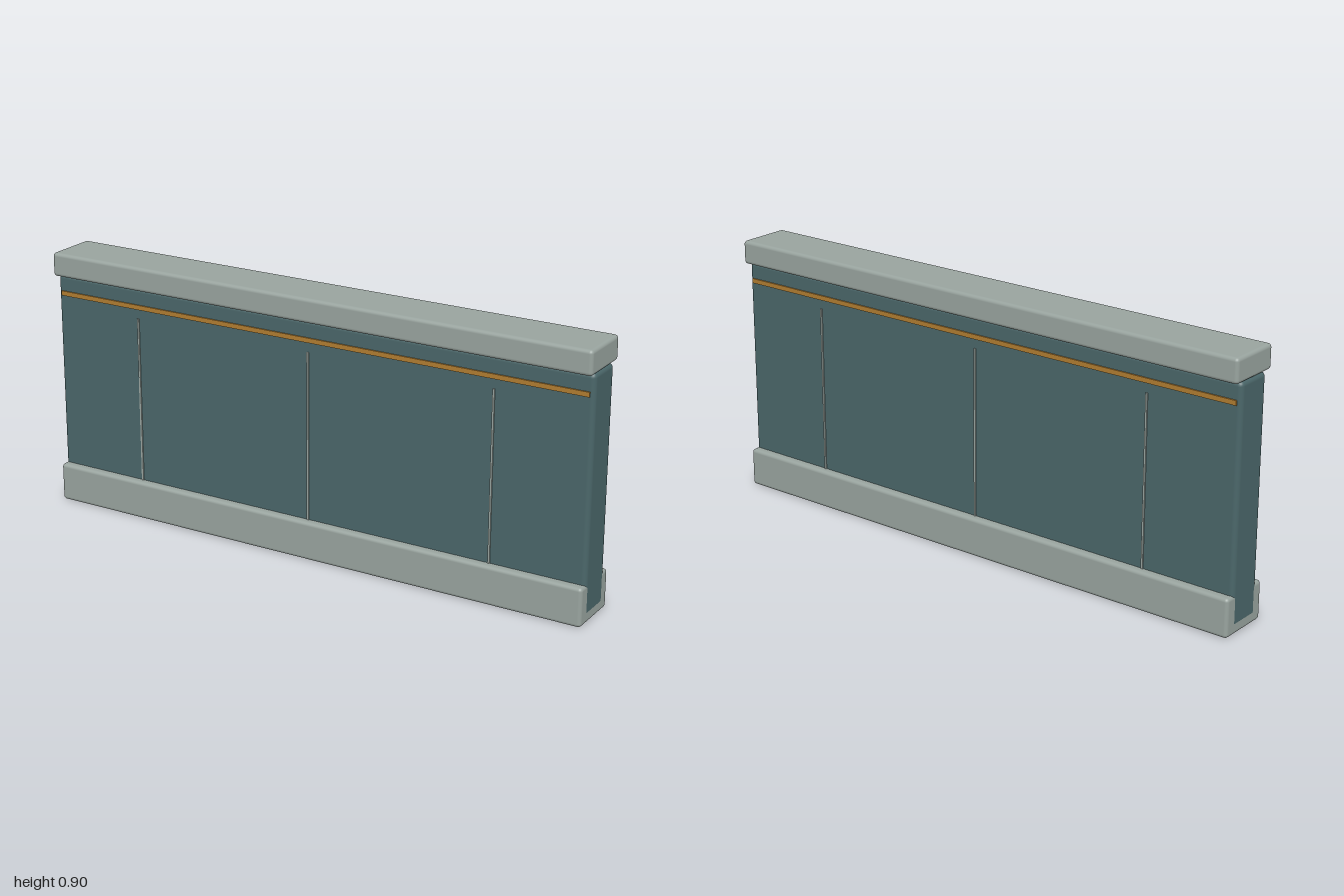
import * as THREE from 'three';
import { RoundedBoxGeometry } from 'three/addons/geometries/RoundedBoxGeometry.js';

const material = (color) => new THREE.MeshStandardMaterial({ color });

export function createModel() {
  const wall = new THREE.Group();
  wall.name = 'lowWall';
  const stone = material(0x98a39e);
  const teal = material(0x4a6669);
  const brass = material(0xb07c30);

  // Adds a box spanning y0..y1, rounded when a radius is given
  function block(name, mat, length, y0, y1, depth, radius = 0, x = 0, z = 0) {
    const h = y1 - y0;
    const geometry = radius
      ? new RoundedBoxGeometry(length, h, depth, 3, radius)
      : new THREE.BoxGeometry(length, h, depth);
    const mesh = new THREE.Mesh(geometry, mat);
    mesh.name = name;
    mesh.position.set(x, (y0 + y1) / 2, z);
    wall.add(mesh);
  }

  // Plinth, wall panel (its ends just proud of the plinth) and coping
  block('base', stone, 2, 0, 0.133, 0.19, 0.012);
  block('wallPanel', teal, 2.0006, 0.022, 0.82, 0.134, 0.016);
  block('cap', stone, 2, 0.818, 0.9, 0.19, 0.012);

  // Trim strip and panel joints on both faces
  for (const [side, s] of [['front', 1], ['back', -1]]) {
    block(`${side}TrimStrip`, brass, 1.97, 0.746, 0.762, 0.012, 0, 0, s * 0.066);
    for (const x of [-0.667, 0, 0.667]) {
      block(`${side}PanelJoint`, stone, 0.007, 0.12, 0.714, 0.01, 0, x, s * 0.066);
    }
  }
  return wall;
}
